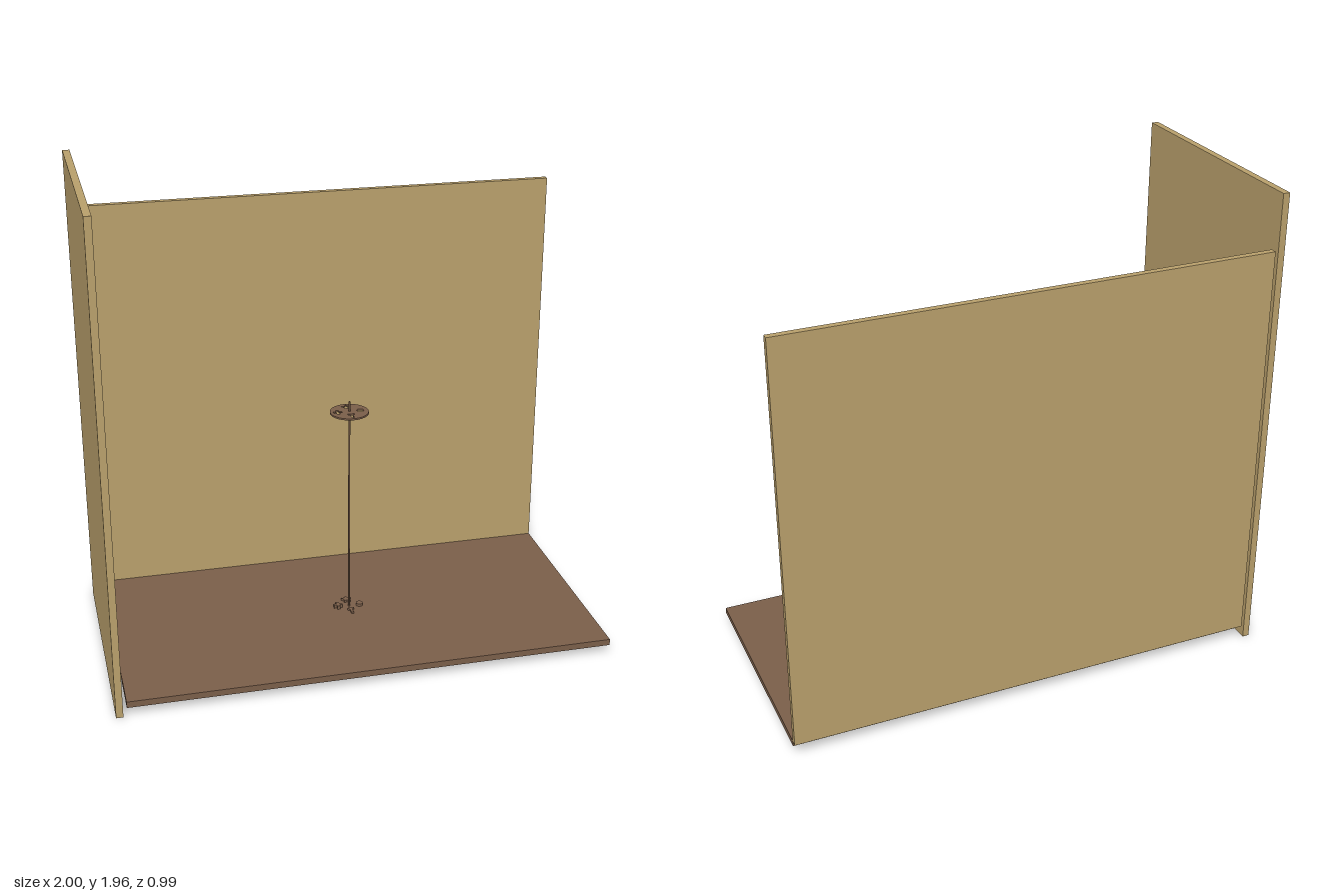
import * as THREE from 'three';

export function createModel() {
  const group = new THREE.Group();
  const tan = new THREE.MeshStandardMaterial({ color: 0xb9a06c });
  tan.name = 'tan board';
  const brown = new THREE.MeshStandardMaterial({ color: 0x7b5f4a });
  brown.name = 'brown wood';

  const add = (name, geometry, material, x, y, z, parent = group) => {
    const mesh = new THREE.Mesh(geometry, material);
    mesh.name = name;
    mesh.position.set(x, y, z);
    parent.add(mesh);
    return mesh;
  };
  // Box given by its lower and upper limits on each axis
  const board = (name, material, [x0, x1], [y0, y1], [z0, z1]) =>
    add(name, new THREE.BoxGeometry(x1 - x0, y1 - y0, z1 - z0), material,
      (x0 + x1) / 2, (y0 + y1) / 2, (z0 + z1) / 2);

  // Walls and floor
  board('sideWall', tan, [-1, -0.972], [0, 1.96], [-0.492, 0.497]);
  board('backWall', tan, [-0.957, 1], [0.06, 1.738], [-0.497, -0.471]);
  board('floor', brown, [-0.957, 1], [0.038, 0.064], [-0.471, 0.495]);

  // Flat outlines, shared by the cut-outs in the disc and the loose pieces
  const poly = (points, cx, cy) => points.map(([x, y]) => new THREE.Vector2(x + cx, y + cy));
  const ring = (n, radius, start = 0) => Array.from({ length: n }, (_, i) => {
    const a = start + (i / n) * Math.PI * 2;
    const r = radius(i);
    return [r * Math.cos(a), r * Math.sin(a)];
  });
  const a = 0.006, b = 0.018;
  const cross = [[-a, -b], [a, -b], [a, -a], [b, -a], [b, a], [a, a],
    [a, b], [-a, b], [-a, a], [-b, a], [-b, -a], [-a, -a]];
  const tee = [[-0.005, -0.02], [0.005, -0.02], [0.005, 0.004], [0.014, 0.012],
    [0.014, 0.017], [-0.014, 0.017], [-0.014, 0.012], [-0.005, 0.004]];
  const pieces = [
    { name: 'starPiece', points: ring(10, i => (i % 2 ? 0.012 : 0.022), Math.PI / 2), x: 0, y: 0.047, h: 0.01 },
    { name: 'crossPiece', points: cross, x: -0.047, y: 0, h: 0.015 },
    { name: 'roundPiece', points: ring(12, () => 0.015), x: 0.045, y: 0, h: 0.011 },
    { name: 'teePiece', points: tee, x: 0, y: -0.045, h: 0.008 },
  ];
  const slab = (shape, depth) => new THREE.ExtrudeGeometry(shape,
    { depth, bevelEnabled: false, curveSegments: 32 }).rotateX(-Math.PI / 2);

  // Pole stand with its pierced disc and the pieces lying below
  const stand = new THREE.Group();
  stand.name = 'poleStand';
  stand.position.set(0.034, 0.064, -0.015);
  group.add(stand);
  add('pole', new THREE.CylinderGeometry(0.004, 0.004, 0.932, 12), brown, 0, 0.466, 0, stand);

  const disc = new THREE.Shape().absarc(0, 0, 0.078, 0, Math.PI * 2);
  for (const p of pieces) {
    const outline = poly(p.points, p.x, p.y);
    disc.holes.push(new THREE.Path(outline));
    add(p.name, slab(new THREE.Shape(outline), p.h), brown, 0, 0, 0, stand);
  }
  add('disc', slab(disc, 0.007), brown, 0, 0.883, 0, stand);

  return group;
}
